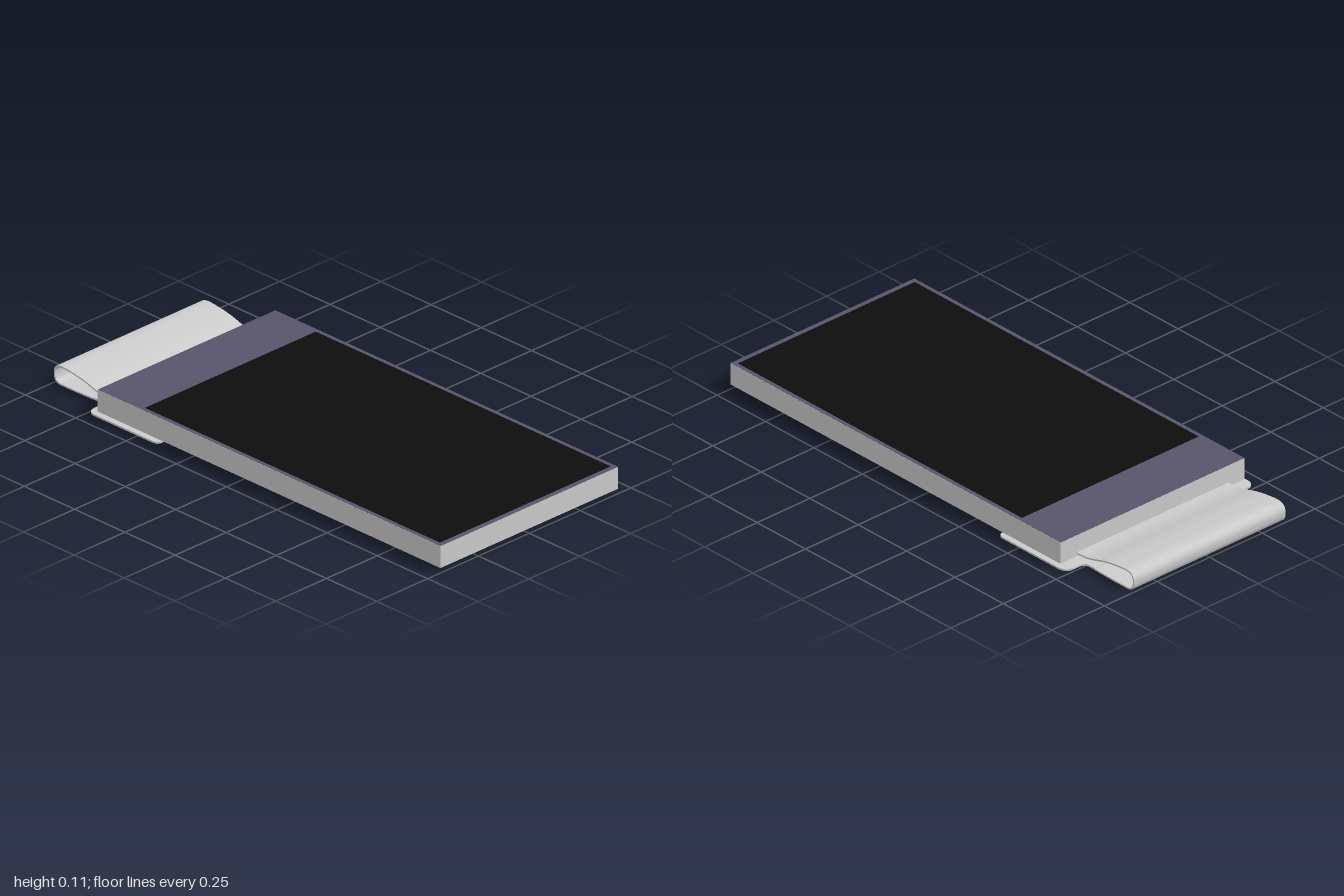
import * as THREE from 'three';
import { toCreasedNormals } from 'three/addons/utils/BufferGeometryUtils.js';

const material = (color = 0xcccccc) => new THREE.MeshStandardMaterial({ color });

function addMesh(group, name, geometry, mat) {
  const mesh = new THREE.Mesh(geometry, mat);
  mesh.name = name;
  group.add(mesh);
  return mesh;
}

// Flat rectangle facing up, given by its x range and full depth
function topPanel(x0, x1, depth, y) {
  const g = new THREE.PlaneGeometry(x1 - x0, depth);
  return g.rotateX(-Math.PI / 2).translate((x0 + x1) / 2, y, 0);
}

// Thin band following an x-y path, extruded along z
function ribbon(points, thickness, width) {
  const curve = new THREE.CatmullRomCurve3(
    points.map(([x, y]) => new THREE.Vector3(x, y, 0)), false, 'centripetal');
  const sides = [[], []];
  const steps = 100;
  for (let i = 0; i <= steps; i++) {
    const p = curve.getPointAt(i / steps);
    const t = curve.getTangentAt(i / steps);
    [1, -1].forEach((s, k) => {
      const d = s * thickness / 2;
      sides[k].push(new THREE.Vector2(p.x - t.y * d, p.y + t.x * d));
    });
  }
  const shape = new THREE.Shape([...sides[0], ...sides[1].reverse()]);
  const g = new THREE.ExtrudeGeometry(shape, { depth: width, bevelEnabled: false });
  return toCreasedNormals(g.translate(0, 0, -width / 2), 0.6);
}

// Outline of the wide connector sheet: rounded shoulders and a narrow neck
function connectorShape() {
  const s = new THREE.Shape();
  s.moveTo(-0.80, -0.36);
  s.lineTo(-0.775, -0.36);
  s.quadraticCurveTo(-0.745, -0.36, -0.745, -0.39);
  s.lineTo(-0.745, -0.41);
  s.quadraticCurveTo(-0.745, -0.45, -0.705, -0.45);
  s.lineTo(-0.42, -0.45);
  s.quadraticCurveTo(-0.395, -0.45, -0.395, -0.425);
  s.lineTo(-0.395, 0.425);
  s.quadraticCurveTo(-0.395, 0.45, -0.42, 0.45);
  s.lineTo(-0.705, 0.45);
  s.quadraticCurveTo(-0.745, 0.45, -0.745, 0.41);
  s.lineTo(-0.745, 0.39);
  s.quadraticCurveTo(-0.745, 0.36, -0.775, 0.36);
  s.lineTo(-0.80, 0.36);
  s.closePath();
  return s;
}

export function createModel() {
  const model = new THREE.Group();
  model.name = 'displayModule';
  const grey = material();

  // Display slab with bezel and active area on its top face
  const body = new THREE.BoxGeometry(1.705, 0.085, 0.874).translate(0.1475, 0.0615, 0);
  addMesh(model, 'displayBody', body, grey);
  addMesh(model, 'bezel', topPanel(-0.705, 1, 0.874, 0.1047), material(0x58536b));
  addMesh(model, 'screen', topPanel(-0.487, 0.98, 0.84, 0.1055), material(0x0d0d0d));

  // Flexible cable leaving the slab and folding back underneath
  const path = [
    [-0.68, 0.033], [-0.75, 0.034], [-0.79, 0.042], [-0.85, 0.059], [-0.91, 0.069],
    [-0.96, 0.073], [-0.985, 0.068], [-0.996, 0.053], [-0.997, 0.03], [-0.991, 0.012],
    [-0.975, 0.004], [-0.95, 0.003], [-0.85, 0.004], [-0.77, 0.007],
  ];
  addMesh(model, 'foldedCable', ribbon(path, 0.006, 0.72), grey);

  // Wide connector sheet below the slab
  const sheet = new THREE.ExtrudeGeometry(connectorShape(),
    { depth: 0.007, bevelEnabled: false, curveSegments: 10 });
  sheet.rotateX(-Math.PI / 2).translate(0, 0.004, 0);
  addMesh(model, 'connectorSheet', toCreasedNormals(sheet, 0.6), grey);

  return model;
}
